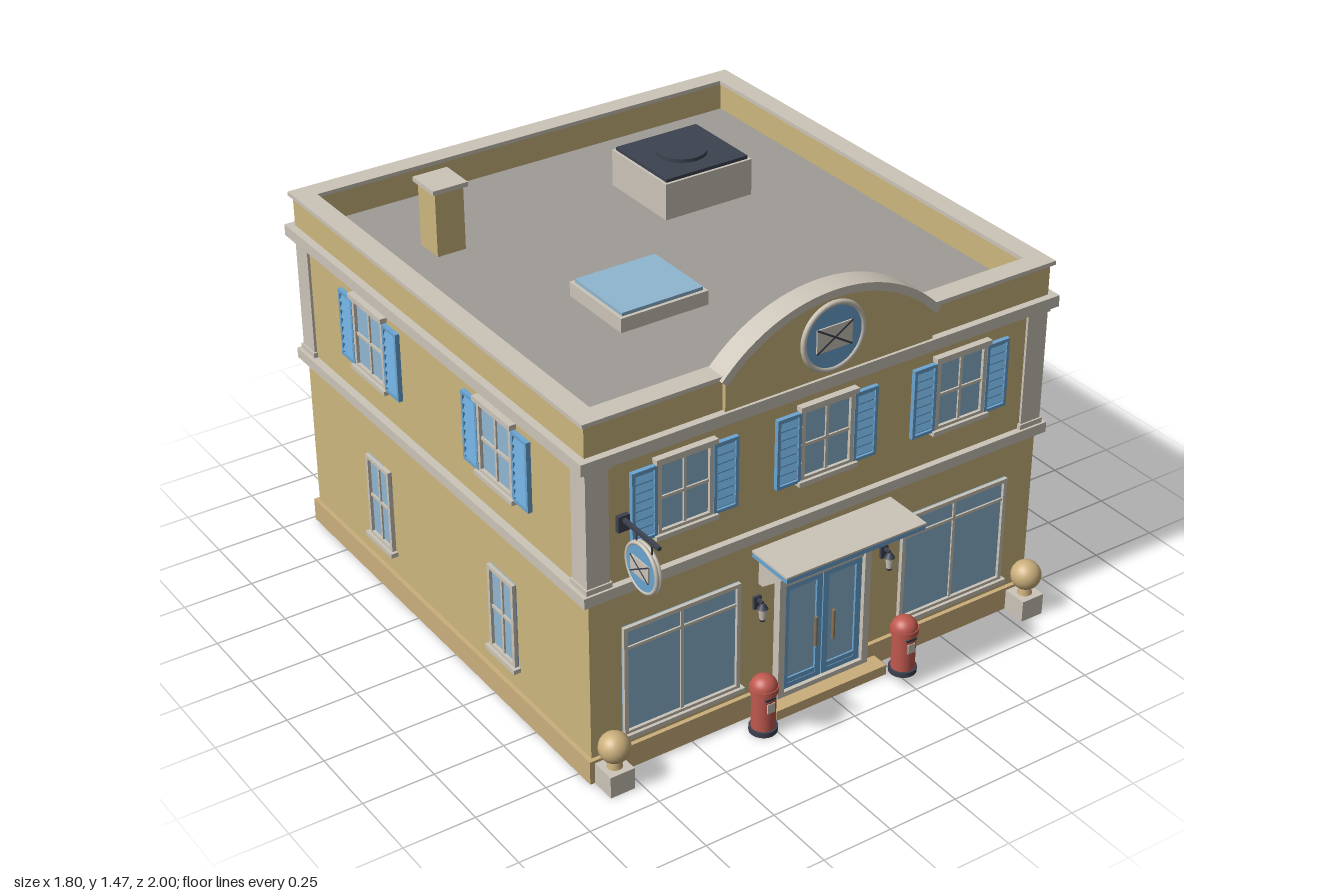
import * as THREE from 'three';

const mat = (name, color) => Object.assign(new THREE.MeshStandardMaterial({ color }), { name });
const WALL = mat('wall tan', 0xcdb67f), PLINTH = mat('plinth sandstone', 0xcbaf7c);
const STONE = mat('pale stone', 0xcbc4b8), ROOF = mat('roof grey', 0x9f9b96);
const BLUE = mat('painted blue', 0x6aa5d2), GLASS = mat('glass blue', 0x8fb6d0);
const RED = mat('post red', 0xc0594f), DARK = mat('dark metal', 0x3d4250);
const BRONZE = mat('bronze', 0x8a7658);

// Wall planes: half width, half depth, depth centre
const HX = 0.865, HZ = 0.885, ZC = -0.085;

function add(parent, name, geo, material, x = 0, y = 0, z = 0) {
  const m = new THREE.Mesh(geo, material);
  m.name = name;
  m.position.set(x, y, z);
  parent.add(m);
  return m;
}

function group(parent, name, x = 0, y = 0, z = 0, ry = 0) {
  const g = new THREE.Group();
  g.name = name;
  g.position.set(x, y, z);
  g.rotation.y = ry;
  parent.add(g);
  return g;
}

// Box given by its limits
const slab = (p, name, m, x0, x1, y0, y1, z0, z1) =>
  add(p, name, new THREE.BoxGeometry(x1 - x0, y1 - y0, z1 - z0), m, (x0 + x1) / 2, (y0 + y1) / 2, (z0 + z1) / 2);

const rect = (C, x0, x1, y0, y1) =>
  new C([[x0, y0], [x1, y0], [x1, y1], [x0, y1]].map(([x, y]) => new THREE.Vector2(x, y)));

const extrude = (shape, depth) =>
  new THREE.ExtrudeGeometry(shape, { depth, bevelEnabled: false, curveSegments: 32 });

// Rectangular band running round the building
function ring(p, name, m, hx, hz, t, y0, y1) {
  const s = rect(THREE.Shape, -hx, hx, -hz, hz);
  s.holes.push(rect(THREE.Path, -hx + t, hx - t, -hz + t, hz - t));
  add(p, name, extrude(s, y1 - y0).rotateX(-Math.PI / 2), m, 0, y0, ZC);
}

// Four bars around an opening
function frame(p, name, m, x0, x1, y0, y1, t, z0, z1) {
  const s = rect(THREE.Shape, x0, x1, y0, y1);
  s.holes.push(rect(THREE.Path, x0 + t, x1 - t, y0 + t, y1 - t));
  add(p, name, extrude(s, z1 - z0), m, 0, 0, z0);
}

// Window with one upright and one crossbar
function windowUnit(p, name, x, y0, y1, half, bar, shutters) {
  const g = group(p, name, x);
  slab(g, 'glass', GLASS, -half, half, y0, y1, -0.025, 0.004);
  frame(g, 'windowFrame', STONE, -half, half, y0, y1, 0.014, -0.01, 0.015);
  slab(g, 'mullion', STONE, -0.005, 0.005, y0, y1, 0, 0.01);
  slab(g, 'crossbar', STONE, -half, half, bar - 0.005, bar + 0.005, 0, 0.01);
  slab(g, 'sill', STONE, -half - 0.012, half + 0.012, y0 - 0.012, y0 + 0.004, 0, 0.026);
  if (!shutters) return;
  slab(g, 'lintel', STONE, -half - 0.01, half + 0.01, y1 - 0.004, y1 + 0.014, 0, 0.024);
  for (const s of [-1, 1]) {
    const sh = group(g, 'shutter', s * (half + 0.046));
    slab(sh, 'shutterPanel', BLUE, -0.045, 0.045, y0, y1 - 0.008, -0.025, 0.008);
    frame(sh, 'shutterFrame', BLUE, -0.045, 0.045, y0, y1 - 0.008, 0.011, 0.006, 0.016);
    for (let i = 0; i < 7; i++) {
      const slat = add(sh, 'slat', new THREE.BoxGeometry(0.07, 0.022, 0.004), BLUE, 0, y0 + 0.03 + i * 0.031, 0.011);
      slat.rotation.x = -0.4;
    }
  }
}
const upperWindow = (p, x) => windowUnit(p, 'upperWindow', x, 0.82, 1.075, 0.1, 0.945, true);
const smallWindow = (p, x) => windowUnit(p, 'groundWindow', x, 0.175, 0.49, 0.077, 0.335, false);

// Round badge with an envelope, facing +z
function badge(p, r, z) {
  const g = group(p, 'envelopeBadge', 0, 0, z);
  add(g, 'badgeRim', new THREE.TorusGeometry(r * 0.93, r * 0.08, 8, 40), STONE);
  add(g, 'badgeFace', new THREE.CircleGeometry(r * 0.93, 40), BLUE, 0, 0, 0.004);
  const w = r * 0.55, h = r * 0.34, len = Math.hypot(w, h);
  slab(g, 'envelope', STONE, -w, w, -h, h, 0.002, 0.009);
  for (const sx of [-1, 1]) for (const sy of [-1, 1]) {
    const fold = add(g, 'envelopeFold', new THREE.BoxGeometry(len, r * 0.05, 0.003), DARK, sx * w / 2, sy * h / 2, 0.009);
    fold.rotation.z = sx * sy * Math.atan2(h, w);
  }
  return g;
}

function wallPanel(p, half, hole) {
  const s = rect(THREE.Shape, -half, half, 0, 1.18);
  if (hole) s.holes.push(rect(THREE.Path, ...hole));
  add(p, 'wall', extrude(s, 0.02), WALL, 0, 0, -0.02);
}

function buildFront(f) {
  wallPanel(f, HX);
  for (const x of [-0.525, 0, 0.525]) upperWindow(f, x);
  for (const x of [-0.534, 0.534]) windowUnit(f, 'shopWindow', x, 0.13, 0.53, 0.216, 0.45, false);
  // Entrance
  const d = group(f, 'entrance');
  frame(d, 'doorSurround', STONE, -0.18, 0.18, 0.03, 0.575, 0.024, -0.02, 0.03);
  slab(d, 'transomGlass', GLASS, -0.156, 0.156, 0.46, 0.551, -0.025, 0.006);
  slab(d, 'transomRail', STONE, -0.156, 0.156, 0.453, 0.466, 0, 0.02);
  for (const x of [-0.052, 0.052]) slab(d, 'transomBar', STONE, x - 0.004, x + 0.004, 0.46, 0.551, 0, 0.014);
  for (const s of [-1, 1]) {
    const leaf = group(d, 'doorLeaf', s * 0.078);
    slab(leaf, 'doorGlass', GLASS, -0.06, 0.06, 0.08, 0.44, -0.025, 0.008);
    frame(leaf, 'doorFrame', BLUE, -0.076, 0.076, 0.05, 0.453, 0.022, -0.02, 0.016);
    slab(leaf, 'kickPanel', BLUE, -0.06, 0.06, 0.06, 0.09, 0, 0.014);
    add(leaf, 'handle', new THREE.CylinderGeometry(0.006, 0.006, 0.11, 10), BRONZE, -s * 0.043, 0.245, 0.03);
    // Lamps and awning brackets
    const lamp = group(f, 'wallLamp', s * 0.25);
    slab(lamp, 'lampPlate', DARK, -0.014, 0.014, 0.405, 0.45, -0.025, 0.01);
    slab(lamp, 'lampArm', DARK, -0.005, 0.005, 0.435, 0.445, 0, 0.035);
    add(lamp, 'lampCap', new THREE.CylinderGeometry(0.006, 0.018, 0.018, 12), DARK, 0, 0.43, 0.035);
    add(lamp, 'lampGlass', new THREE.CylinderGeometry(0.014, 0.01, 0.04, 12), STONE, 0, 0.401, 0.035);
    add(lamp, 'lampBase', new THREE.CylinderGeometry(0.011, 0.008, 0.008, 12), DARK, 0, 0.378, 0.035);
    const tri = new THREE.Shape([[0, 0.49], [0.02, 0.49], [0.16, 0.6], [0, 0.6]].map(a => new THREE.Vector2(...a)));
    add(f, 'awningBracket', extrude(tri, 0.014).rotateY(-Math.PI / 2), STONE, s * 0.235 + 0.007);
  }
  slab(f, 'awningFascia', BLUE, -0.268, 0.268, 0.6, 0.618, 0, 0.18);
  slab(f, 'awningTop', STONE, -0.27, 0.27, 0.618, 0.625, 0, 0.183);
  slab(f, 'step', PLINTH, -0.22, 0.22, 0, 0.036, -0.02, 0.08);
  // Curved pediment
  const cy = 0.918, ped = group(f, 'pediment');
  const panel = new THREE.Shape();
  panel.moveTo(-0.39, 1.17);
  panel.lineTo(0.39, 1.17);
  panel.absarc(0, cy, 0.53, Math.PI / 2 - 0.827, Math.PI / 2 + 0.827, false);
  add(ped, 'pedimentPanel', extrude(panel, 0.07), WALL, 0, 0, -0.05);
  const trim = new THREE.Shape();
  trim.absarc(0, cy, 0.547, Math.PI / 2 - 0.847, Math.PI / 2 + 0.847, false);
  trim.absarc(0, cy, 0.52, Math.PI / 2 + 0.847, Math.PI / 2 - 0.847, true);
  add(ped, 'pedimentTrim', extrude(trim, 0.083), STONE, 0, 0, -0.052);
  badge(ped, 0.12, 0.024).position.y = 1.305;
  // Hanging sign
  const sign = group(f, 'hangingSign', -0.745);
  slab(sign, 'signPlate', DARK, -0.02, 0.02, 0.88, 0.935, -0.025, 0.015);
  slab(sign, 'signBar', DARK, -0.006, 0.006, 0.915, 0.927, 0, 0.2);
  for (const z of [0.08, 0.16]) slab(sign, 'signHanger', DARK, -0.002, 0.002, 0.86, 0.92, z - 0.002, z + 0.002);
  const disc = group(sign, 'signDisc', 0, 0.81, 0.115, Math.PI / 2);
  add(disc, 'signCore', new THREE.CylinderGeometry(0.083, 0.083, 0.014, 40).rotateX(Math.PI / 2), STONE);
  badge(disc, 0.085, 0.006);
  badge(group(disc, 'signBack', 0, 0, 0, Math.PI), 0.085, 0.006);
}

// Parcel lockers in a recess of the right wall (local x runs to the back)
function buildRight(f) {
  wallPanel(f, HZ, [-0.325, 0.555, 0.003, 0.435]);
  for (const x of [-0.39, 0.4]) upperWindow(f, x);
  smallWindow(f, -0.62);
  const L = group(f, 'parcelLockers');
  frame(L, 'recessLining', STONE, -0.327, 0.557, 0.0, 0.437, 0.006, -0.14, 0.002);
  slab(L, 'recessBack', WALL, -0.325, 0.555, 0, 0.435, -0.15, -0.14);
  slab(L, 'recessHeader', STONE, -0.185, 0.552, 0.385, 0.432, -0.14, -0.05);
  slab(L, 'lockerBase', DARK, -0.305, 0.54, 0, 0.022, -0.14, 0.012);
  slab(L, 'lockerBody', BLUE, -0.29, 0.533, 0.022, 0.372, -0.14, -0.012);
  slab(L, 'lockerTop', STONE, -0.3, 0.543, 0.372, 0.386, -0.14, 0.0);
  for (let c = 0; c < 7; c++) for (let r = 0; r < 5; r++) {
    if (c === 3 && r > 0 && r < 4) continue;
    const x = -0.272 + c * 0.1125, y = 0.036 + r * 0.066;
    slab(L, 'lockerDoor', STONE, x, x + 0.104, y, y + 0.057, -0.014, -0.005);
    slab(L, 'lockerLock', DARK, x + 0.083, x + 0.093, y + 0.02, y + 0.04, -0.006, -0.002);
  }
  slab(L, 'screenBezel', DARK, 0.066, 0.17, 0.19, 0.28, -0.014, -0.001);
  slab(L, 'screen', GLASS, 0.078, 0.158, 0.202, 0.268, -0.004, 0.001);
  for (let i = 0; i < 6; i++) {
    const x = 0.092 + (i % 3) * 0.022, y = 0.12 + Math.floor(i / 3) * 0.024;
    slab(L, 'key', DARK, x, x + 0.009, y, y + 0.012, -0.014, -0.006);
  }
}

function buildBack(f) {
  wallPanel(f, HX);
  for (const x of [-0.48, 0, 0.48]) upperWindow(f, x);
  smallWindow(f, -0.48);
  const g = group(f, 'garageDoor', 0.36);
  slab(g, 'garagePanel', STONE, -0.23, 0.23, 0, 0.43, -0.025, 0.008);
  frame(g, 'garageFrame', STONE, -0.25, 0.25, 0, 0.45, 0.02, -0.01, 0.026);
  for (let i = 0; i < 8; i++) slab(g, 'garageSlat', STONE, -0.23, 0.23, 0.025 + i * 0.051, 0.067 + i * 0.051, 0, 0.018);
}

function buildLeft(f) {
  wallPanel(f, HZ);
  for (const x of [-0.4, 0.39]) {
    upperWindow(f, x);
    smallWindow(f, x);
  }
}

function buildRoof(p) {
  slab(p, 'roofDeck', ROOF, -0.83, 0.83, 1.16, 1.18, ZC - 0.85, ZC + 0.85);
  slab(p, 'chimney', WALL, -0.605, -0.5, 1.18, 1.41, -0.6, -0.49);
  slab(p, 'chimneyCap', STONE, -0.617, -0.488, 1.408, 1.424, -0.612, -0.478);
  slab(p, 'coolingUnit', STONE, 0.153, 0.502, 1.18, 1.312, -0.615, -0.29);
  slab(p, 'coolingLid', DARK, 0.163, 0.492, 1.312, 1.324, -0.605, -0.3);
  add(p, 'coolingFan', new THREE.CylinderGeometry(0.088, 0.088, 0.014, 32), DARK, 0.325, 1.33, -0.45);
  slab(p, 'skylightCurb', STONE, -0.392, -0.064, 1.18, 1.23, -0.027, 0.267);
  slab(p, 'skylightGlass', GLASS, -0.38, -0.076, 1.23, 1.242, -0.015, 0.255);
}

// Street furniture beside the entrance
function pillarBox(p, x) {
  const g = group(p, 'pillarBox', x, 0, 0.89);
  const cyl = (name, m, r, y0, y1) => add(g, name, new THREE.CylinderGeometry(r, r, y1 - y0, 28), m, 0, (y0 + y1) / 2);
  cyl('pillarBase', DARK, 0.047, 0, 0.018);
  cyl('pillarBody', RED, 0.04, 0.018, 0.155);
  cyl('pillarCollar', RED, 0.047, 0.152, 0.172);
  add(g, 'pillarDome', new THREE.SphereGeometry(0.044, 28, 10, 0, Math.PI * 2, 0, Math.PI / 2).scale(1, 0.9, 1), RED, 0, 0.171);
  slab(g, 'postSlot', DARK, -0.02, 0.02, 0.136, 0.144, 0.03, 0.041);
  slab(g, 'noticePlate', STONE, -0.014, 0.014, 0.09, 0.125, 0.033, 0.042);
}

export function createModel() {
  const model = new THREE.Group();
  model.name = 'townPostOffice';
  buildFront(group(model, 'frontFacade', 0, 0, ZC + HZ));
  buildRight(group(model, 'rightFacade', HX, 0, ZC, Math.PI / 2));
  buildBack(group(model, 'backFacade', 0, 0, ZC - HZ, Math.PI));
  buildLeft(group(model, 'leftFacade', -HX, 0, ZC, -Math.PI / 2));
  // Plinth, left open at the locker recess
  for (const s of [-1, 1]) slab(model, 'plinth', PLINTH, s > 0 ? 0.18 : -0.88, s > 0 ? 0.88 : -0.18, 0, 0.085, ZC + HZ - 0.02, ZC + 0.9);
  slab(model, 'plinth', PLINTH, -0.1, 0.88, 0, 0.085, ZC - 0.9, ZC - HZ + 0.02);
  slab(model, 'plinth', PLINTH, -0.88, -0.61, 0, 0.085, ZC - 0.9, ZC - HZ + 0.02);
  slab(model, 'plinth', PLINTH, -0.88, -0.845, 0, 0.085, ZC - 0.9, ZC + 0.9);
  slab(model, 'plinth', PLINTH, 0.845, 0.88, 0, 0.085, 0.24, ZC + 0.9);
  slab(model, 'plinth', PLINTH, 0.845, 0.88, 0, 0.085, ZC - 0.9, -0.64);
  // Bands, parapet and corner pilasters
  ring(model, 'floorBand', STONE, 0.893, 0.908, 0.06, 0.663, 0.7);
  ring(model, 'cornice', STONE, 0.9, 0.915, 0.06, 1.13, 1.17);
  ring(model, 'parapet', WALL, 0.873, 0.89, 0.055, 1.17, 1.28);
  ring(model, 'parapetCap', STONE, 0.885, 0.902, 0.073, 1.278, 1.292);
  for (const sx of [-1, 1]) for (const sz of [-1, 1]) {
    const g = group(model, 'cornerPilaster', sx * 0.834, 0, ZC + sz * 0.854);
    slab(g, 'pilasterShaft', STONE, -0.04, 0.04, 0.7, 1.13, -0.04, 0.04);
    for (const y of [0.7, 1.112]) slab(g, 'pilasterBlock', STONE, -0.046, 0.046, y, y + 0.018, -0.046, 0.046);
  }
  buildRoof(model);
  for (const s of [-1, 1]) {
    pillarBox(model, s * 0.28);
    slab(model, 'ballPedestal', STONE, s * 0.82 - 0.044, s * 0.82 + 0.044, 0, 0.078, 0.818, 0.906);
    add(model, 'stoneBall', new THREE.SphereGeometry(0.052, 24, 16), PLINTH, s * 0.82, 0.15, 0.862);
    add(model, 'ballFoot', new THREE.CylinderGeometry(0.02, 0.026, 0.03, 16), PLINTH, s * 0.82, 0.09, 0.862);
  }
  return model;
}
